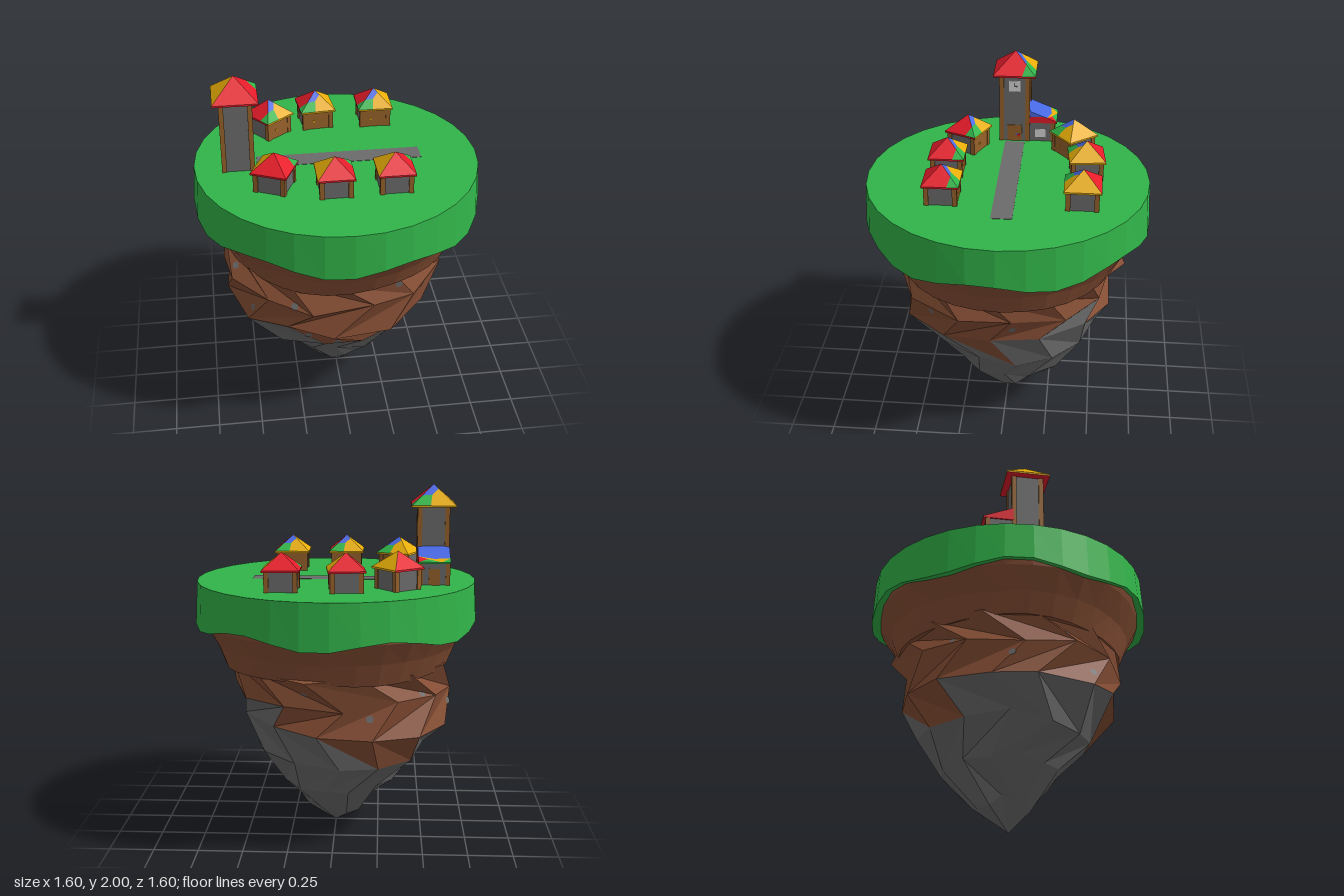
import * as THREE from 'three';

const mat = (name, color) => {
  const m = new THREE.MeshStandardMaterial({ color, flatShading: true });
  m.name = name;
  return m;
};

// Triangles (lists of [x,y,z]) to a flat-shaded geometry
const triGeometry = (tris) => {
  const g = new THREE.BufferGeometry();
  g.setAttribute('position', new THREE.Float32BufferAttribute(tris.flat(2), 3));
  g.computeVertexNormals();
  return g;
};

// Triangles between rings listed from top to bottom; point(row, i) gives a corner
const loft = (rows, n, point) => {
  const tris = [];
  for (let r = 0; r < rows - 1; r++) {
    for (let i = 0; i < n; i++) {
      const j = (i + 1) % n;
      const tl = point(r, i), tr = point(r, j), bl = point(r + 1, i), br = point(r + 1, j);
      if (r % 2) tris.push([bl, br, tl], [br, tr, tl]);
      else tris.push([bl, br, tr], [bl, tr, tl]);
    }
  }
  return tris;
};

const noise = (a, b) => {
  const s = Math.sin(a * 127.1 + b * 311.7) * 43758.5453;
  return (s - Math.floor(s)) * 2 - 1;
};
const mix = (a, b, t) => a.map((v, k) => v + (b[k] - v) * t);
const quad = (a, b, c, d) => [[a, b, c], [a, c, d]];
const TOP = 1.47;

export function createModel() {
  const model = new THREE.Group();
  model.name = 'floatingVillage';
  const M = {
    grass: mat('grass green', 0x31b449),
    dirt: mat('dirt brown', 0x874f35),
    stone: mat('stone grey', 0x6b6b6b),
    red: mat('roof red', 0xe61c2a),
    yellow: mat('roof yellow', 0xe8ae08),
    blue: mat('roof blue', 0x4868e2),
    wood: mat('wood brown', 0x96622a),
    white: mat('window white', 0xd8d8d8),
  };
  const add = (parent, name, geometry, material, x = 0, y = 0, z = 0) => {
    const m = new THREE.Mesh(geometry, material);
    m.name = name;
    m.position.set(x, y, z);
    parent.add(m);
    return m;
  };
  const box = (parent, name, size, pos, material) =>
    add(parent, name, new THREE.BoxGeometry(...size), material, ...pos);

  // Grass disc with a wavy hanging rim
  const N = 32;
  const grassRows = [[0, TOP], [0.785, TOP], [0.798, 0], [0.74, 0.012]];
  const wave = (a) => 1.237 - 0.028 * Math.cos(6 * (a + 0.12)) - 0.008 * Math.sin(2 * a);
  add(model, 'grassDisc', triGeometry(loft(4, N, (r, i) => {
    const a = (i / N) * Math.PI * 2, [rad, y] = grassRows[r];
    return [rad * Math.sin(a), y > 1 ? y : wave(a) + y, rad * Math.cos(a)];
  })), M.grass);

  // Upper dirt collar ending in a sharp lip
  const collarRows = [[0.775, 1.3], [0.76, 1.24], [0.688, 1.12], [0.637, 1.0], [0.5, 1.01]];
  add(model, 'dirtCollar', triGeometry(loft(5, N, (r, i) => {
    const a = (i / N) * Math.PI * 2, [rad, y] = collarRows[r];
    const k = rad * (1 + 0.01 * Math.sin(5 * a + r));
    return [k * Math.sin(a), y + (r === 3 ? 0.008 * Math.sin(3 * a) : 0), k * Math.cos(a)];
  })), M.dirt);

  // Rough cone below, closed on top: y, radius, x shift, z shift; split into dirt and stone faces
  const rockRows = [
    [1.06, 0.45, 0, 0], [1.03, 0.63, -0.02, -0.01], [0.87, 0.62, -0.03, 0.02], [0.7, 0.61, -0.055, 0],
    [0.5, 0.48, -0.03, -0.025], [0.3, 0.33, -0.02, -0.05], [0.14, 0.16, 0, -0.04], [0.005, 0, 0, 0],
  ];
  const S = 13;
  const rockTris = loft(rockRows.length, S, (r, i) => {
    const [y, rad, cx, cz] = rockRows[r];
    const a = ((i + ((r + 1) % 2) * 0.5 + 0.12 * noise(i, r - 1)) / S) * Math.PI * 2;
    const bulge = r === 1 && i === 6 ? 0.04 : 0;
    const k = rad * (1 + (r === 1 ? 0.02 : 0.035) * noise(i + 7, r + 2)) + bulge;
    const dy = r > 1 && r < 7 ? 0.035 * noise(i + 2, r + 10) : -bulge / 4;
    return [cx + k * Math.sin(a), y + dy, cz + k * Math.cos(a)];
  });
  // Height of the stone line every 30 degrees, starting at the front
  const line = [0.5, 0.66, 0.72, 0.5, 0.86, 0.84, 0.58, 0.52, 0.68, 0.7, 0.7, 0.62];
  const isStone = (t) => {
    const c = [0, 1, 2].map((k) => (t[0][k] + t[1][k] + t[2][k]) / 3);
    const a = ((Math.atan2(c[0], c[2]) / (Math.PI * 2) + 1) % 1) * 12;
    const i = Math.floor(a);
    return c[1] < line[i % 12] + (line[(i + 1) % 12] - line[i % 12]) * (a - i);
  };
  const dirtCone = add(model, 'dirtCone', triGeometry(rockTris.filter((t) => !isStone(t))), M.dirt);
  add(model, 'stoneTip', triGeometry(rockTris.filter(isStone)), M.stone);

  // Flat pebbles lying on the dirt (angle in degrees, height)
  const ray = new THREE.Raycaster();
  dirtCone.updateMatrixWorld();
  for (const [deg, y] of [[-28, 0.88], [27, 0.97], [-54, 0.76], [-24, 0.62], [-6, 0.53], [72, 0.97],
    [48, 0.84], [97, 0.82], [165, 0.93], [200, 0.8], [232, 0.9], [262, 0.78], [290, 0.94]]) {
    const a = THREE.MathUtils.degToRad(deg);
    const dir = new THREE.Vector3(-Math.sin(a), 0, -Math.cos(a));
    ray.set(new THREE.Vector3(-2 * dir.x, y, -2 * dir.z), dir);
    const hit = ray.intersectObject(dirtCone)[0];
    if (!hit) continue;
    const p = hit.point.clone().addScaledVector(hit.face.normal, 0.002);
    const pebble = add(model, 'pebble', new THREE.CircleGeometry(0.022, 6), M.stone, ...p.toArray());
    pebble.lookAt(p.add(hit.face.normal));
  }

  // Path across the village
  box(model, 'path', [0.91, 0.006, 0.115], [0.015, TOP - 0.001, -0.003], M.stone);

  // Four-sided roof with a thin fascia and patchwork colours
  const roof = (parent, half, y, rise) => {
    const apex = [0, y + 0.01 + rise, 0];
    const ring = (h) => [[-half, h, half], [half, h, half], [half, h, -half], [-half, h, -half]];
    const lo = ring(y), hi = ring(y + 0.01), [sw, se, ne, nw] = hi;
    const north = mix(nw, ne, 0.58), east = mix(ne, se, 0.32), crest = mix(nw, apex, 0.78);
    const middle = mix(north, apex, 0.5), ridge = mix(ne, apex, 0.46);
    const patch = {
      red: [[sw, se, apex], [se, east, apex], [east, ridge, apex], ...quad(lo[0], lo[3], lo[2], lo[1])],
      yellow: [[nw, sw, apex], ...quad(north, nw, crest, middle)],
      green: [...quad(ne, north, middle, ridge), [east, ne, ridge]],
      blue: quad(middle, crest, apex, ridge),
    };
    for (let i = 0; i < 4; i++) {
      const j = (i + 1) % 4;
      patch[i < 2 ? 'red' : 'yellow'].push(...quad(lo[i], lo[j], hi[j], hi[i]));
    }
    for (const [c, tris] of Object.entries(patch)) {
      add(parent, c + 'RoofPatch', triGeometry(tris), c === 'green' ? M.grass : M[c]);
    }
  };

  // Stone walls, timber corner posts and a roof
  const building = (name, x, z, deg, height, eave, rise) => {
    const g = new THREE.Group();
    g.name = name;
    g.position.set(x, TOP, z);
    g.rotation.y = THREE.MathUtils.degToRad(deg);
    box(g, 'walls', [0.164, height, 0.164], [0, height / 2, 0], M.stone);
    for (const sx of [-1, 1]) for (const sz of [-1, 1]) {
      box(g, 'cornerPost', [0.026, height, 0.026], [sx * 0.076, height / 2, sz * 0.076], M.wood);
    }
    roof(g, eave, height, rise);
    model.add(g);
    return g;
  };

  // Houses on both sides of the path
  for (const [x, z, deg] of [[0.27, 0.33, 0], [-0.05, 0.34, 0], [-0.36, 0.26, -24],
    [-0.345, -0.35, 219], [-0.07, -0.43, 185.5], [0.27, -0.42, 180]]) {
    const h = building('house', x, z, deg, 0.107, 0.1, 0.087);
    box(h, 'timberFront', [0.138, 0.105, 0.006], [0, 0.0535, -0.083], M.wood);
    box(h, 'doorKnob', [0.01, 0.01, 0.006], [0.025, 0.05, -0.087], M.yellow);
  }

  // Clock tower
  const tower = building('clockTower', -0.543, 0, 0, 0.41, 0.122, 0.11);
  box(tower, 'towerDoor', [0.006, 0.1, 0.085], [0.083, 0.05, 0], M.wood);
  box(tower, 'redDoorKnob', [0.004, 0.014, 0.014], [0.0865, 0.035, -0.025], M.red);
  box(tower, 'blueDoorKnob', [0.004, 0.01, 0.01], [0.0865, 0.045, -0.012], M.blue);
  box(tower, 'clockFace', [0.006, 0.066, 0.066], [0.083, 0.345, 0], M.white);
  box(tower, 'clockHand', [0.003, 0.026, 0.006], [0.0865, 0.353, 0], M.stone);
  box(tower, 'clockHand', [0.003, 0.006, 0.018], [0.0865, 0.343, -0.007], M.stone);

  // Lean-to beside the tower with a sloping roof
  const shed = new THREE.Group();
  shed.name = 'leanTo';
  shed.position.set(-0.545, TOP, 0);
  model.add(shed);
  box(shed, 'shedWalls', [0.16, 0.12, 0.15], [0, 0.06, -0.157], M.stone);
  for (const sx of [-1, 1]) box(shed, 'shedPost', [0.024, 0.12, 0.024], [sx * 0.074, 0.06, -0.224], M.wood);
  box(shed, 'shedWindow', [0.006, 0.052, 0.062], [0.081, 0.052, -0.152], M.white);
  box(shed, 'shedDoor', [0.06, 0.09, 0.006], [0, 0.045, -0.233], M.wood);
  const w = 0.088, at = (x, t, low) => [x, low ? 0.118 : 0.195 - 0.067 * t, -0.08 - 0.168 * t];
  const gable = [w, 0.155, -0.08];
  add(shed, 'blueShedRoof', triGeometry([...quad(at(-w, 0), at(w, 0), at(w, 0.65), at(-w, 0.75)),
    [at(-w, 0.75), at(w, 0.65), at(0, 0.8)], [gable, at(w, 0.55), at(w, 0)]]), M.blue);
  add(shed, 'redShedEdge', triGeometry([[at(w, 0.65), at(w, 1), at(0.035, 0.82)],
    ...quad(at(w, 0, 1), at(w, 1, 1), at(w, 1), at(w, 0.55)), [at(w, 0, 1), at(w, 0.55), gable],
    ...quad(at(-w, 1, 1), at(-w, 0, 1), at(-w, 0), at(-w, 1)),
    ...quad(at(-w, 0, 1), at(-w, 1, 1), at(w, 1, 1), at(w, 0, 1))]), M.red);
  add(shed, 'yellowShedPatch', triGeometry([[at(-w, 0.75), at(0, 0.8), at(-0.04, 1)],
    [at(0, 0.8), at(w, 0.65), at(0.035, 0.82)], [at(0, 0.8), at(0.035, 0.82), at(-0.04, 1)]]), M.yellow);
  add(shed, 'greenShedPatch', triGeometry([[at(-w, 0.75), at(-0.04, 1), at(-w, 1)],
    [at(0.035, 0.82), at(w, 1), at(-0.04, 1)], ...quad(at(w, 1, 1), at(-w, 1, 1), at(-w, 1), at(w, 1))]), M.grass);

  return model;
}
